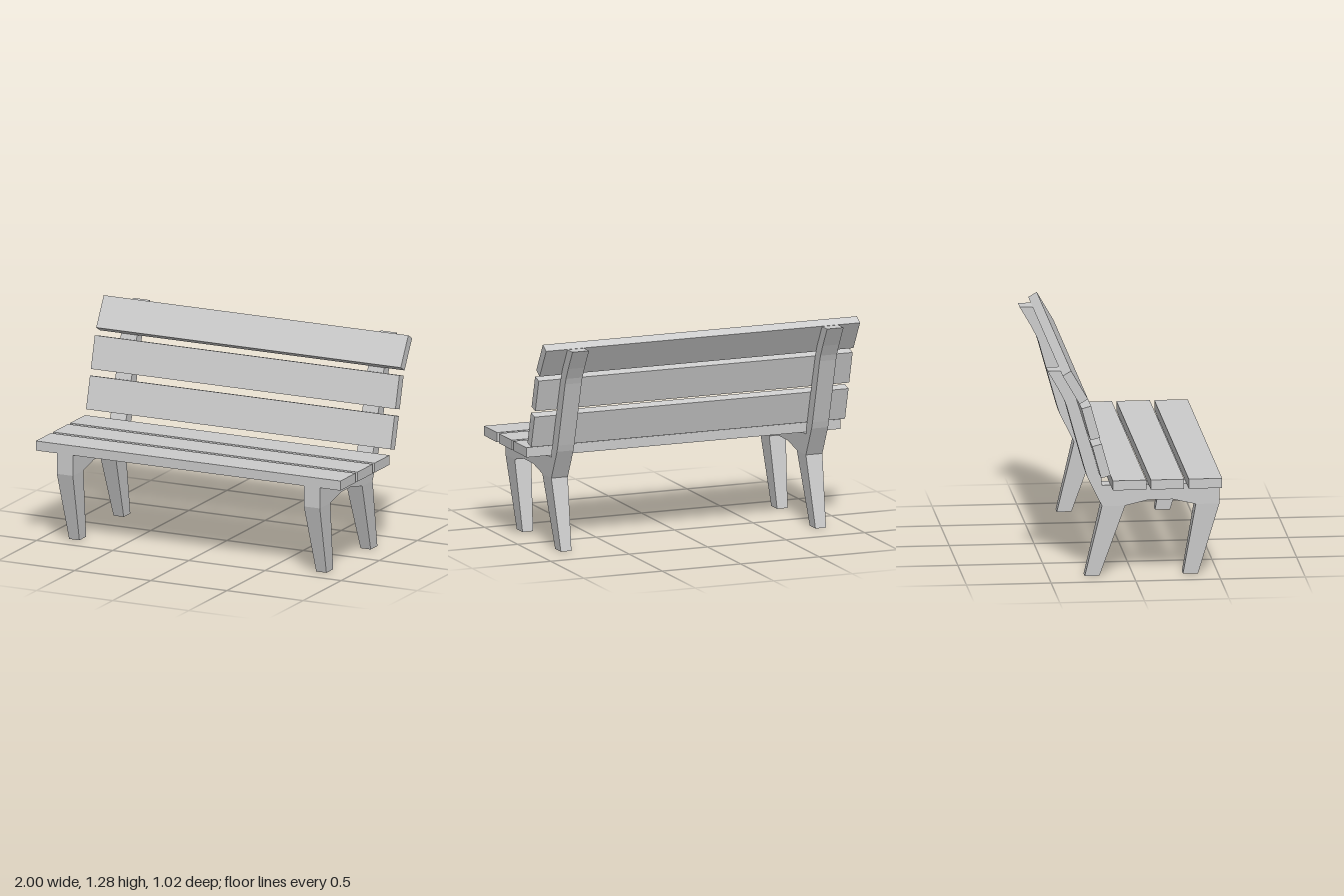
import * as THREE from 'three';

const material = new THREE.MeshStandardMaterial({ color: 0xcccccc, flatShading: true });

const FRAME_X = 0.811;
const FRAME_WIDTH = 0.105;

// Side profiles as [z, y] points
const FRAME = [
  [0.507, 0.55], [0.507, 0.424], [0.368, 0.424], [0.231, 0.456], [0.088, 0.456],
  [-0.049, 0.424], [-0.186, 0.424], [-0.272, 0.6], [-0.285, 0.64], [-0.343, 0.846],
  [-0.394, 1.03], [-0.407, 1.066], [-0.441, 1.132], [-0.507, 1.247],
  [-0.431, 1.247], [-0.366, 1.137], [-0.336, 1.073], [-0.322, 1.03], [-0.258, 0.816],
  [-0.204, 0.627], [-0.19, 0.593], [-0.186, 0.55],
];
const FRONT_LEG = [[0.507, 0.424], [0.383, 0], [0.294, 0], [0.368, 0.424]];
const REAR_LEG = [[-0.049, 0.424], [-0.199, 0], [-0.286, 0], [-0.186, 0.424]];

// Extrudes a side profile across x, centred on x = 0
function extrudeSide(points) {
  const shape = new THREE.Shape(points.map(([z, y]) => new THREE.Vector2(z, y)));
  const geometry = new THREE.ExtrudeGeometry(shape, { depth: FRAME_WIDTH, bevelEnabled: false });
  geometry.rotateY(-Math.PI / 2);
  geometry.translate(FRAME_WIDTH / 2, 0, 0);
  return geometry;
}

// Leg that narrows in x towards the foot
function taperedLeg(points) {
  const geometry = extrudeSide(points);
  const position = geometry.attributes.position;
  for (let i = 0; i < position.count; i++) {
    if (position.getY(i) < 0.1) position.setX(i, position.getX(i) * 0.64);
  }
  geometry.computeVertexNormals();
  return geometry;
}

function addMesh(parent, name, geometry) {
  const mesh = new THREE.Mesh(geometry, material);
  mesh.name = name;
  parent.add(mesh);
  return mesh;
}

export function createModel() {
  const bench = new THREE.Group();
  bench.name = 'bench';

  // Two side supports: frame with backrest post, front and rear leg
  const frame = extrudeSide(FRAME);
  const frontLeg = taperedLeg(FRONT_LEG);
  const rearLeg = taperedLeg(REAR_LEG);
  for (const [side, sign] of [['left', 1], ['right', -1]]) {
    const support = new THREE.Group();
    support.name = `${side}Support`;
    support.position.x = sign * FRAME_X;
    addMesh(support, `${side}Frame`, frame);
    addMesh(support, `${side}FrontLeg`, frontLeg);
    addMesh(support, `${side}RearLeg`, rearLeg);
    bench.add(support);
  }

  // Seat planks
  const seatPlank = new THREE.BoxGeometry(2, 0.058, 0.197);
  [0.411, 0.187, -0.037].forEach((z, i) => {
    addMesh(bench, `seatPlank${i + 1}`, seatPlank).position.set(0, 0.579, z);
  });

  // Backrest planks: height, depth, backward lean in degrees
  const backPlank = new THREE.BoxGeometry(2, 0.199, 0.058);
  [[0.729, -0.203, 15.3], [0.959, -0.266, 15.3], [1.177, -0.357, 30]].forEach(([y, z, lean], i) => {
    const plank = addMesh(bench, `backPlank${i + 1}`, backPlank);
    plank.position.set(0, y, z);
    plank.rotation.x = -THREE.MathUtils.degToRad(lean);
  });

  return bench;
}
